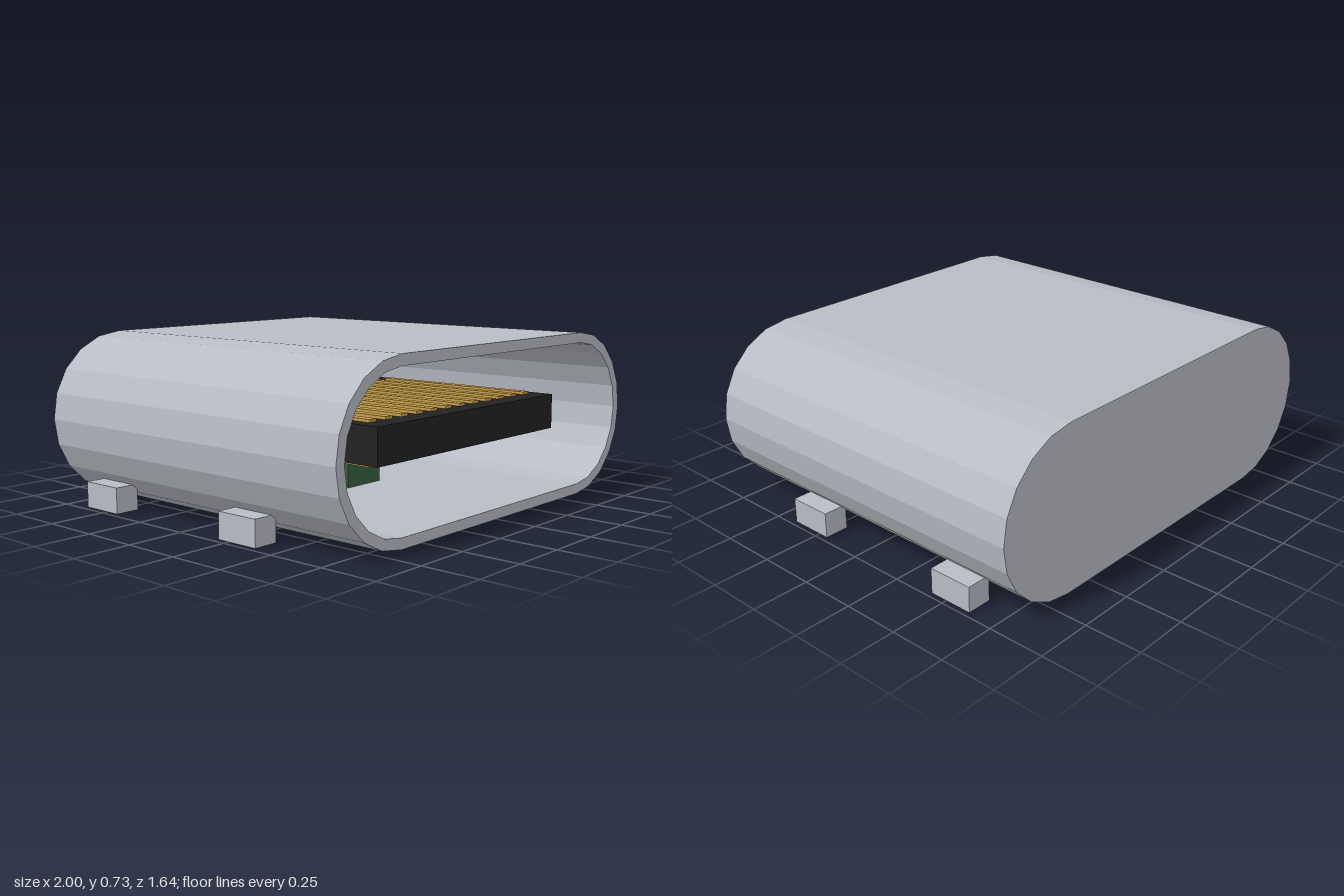
import * as THREE from 'three';

const material = (name, color) => {
  const m = new THREE.MeshStandardMaterial({ color });
  m.name = name;
  return m;
};

// Stadium outline centred on the origin: two half circles joined by flats
const HALF_FLAT = 0.635;
function stadium(PathType, radius) {
  const p = new PathType();
  p.absarc(HALF_FLAT, 0, radius, -Math.PI / 2, Math.PI / 2, false);
  p.absarc(-HALF_FLAT, 0, radius, Math.PI / 2, Math.PI * 1.5, false);
  p.closePath();
  return p;
}

export function createModel() {
  const model = new THREE.Group();
  model.name = 'connectorSocket';
  const metal = material('shell metal', 0xb8bcc4);
  const black = material('black plastic', 0x222222);
  const gold = material('contact gold', 0xc8a04a);
  const green = material('board green', 0x37603f);

  const add = (name, geometry, mat, x, y, z) => {
    const mesh = new THREE.Mesh(geometry, mat);
    mesh.name = name;
    mesh.position.set(x, y, z);
    model.add(mesh);
  };
  const box = (name, mat, [x0, x1], [y0, y1], [z0, z1]) =>
    add(name, new THREE.BoxGeometry(x1 - x0, y1 - y0, z1 - z0), mat,
      (x0 + x1) / 2, (y0 + y1) / 2, (z0 + z1) / 2);

  // Faceted shell tube, open at the front, and its back wall
  const R = 0.365, WALL = 0.045, BACK = -0.82, BACK_WALL = 0.045;
  const outline = stadium(THREE.Shape, R);
  outline.holes.push(stadium(THREE.Path, R - WALL));
  const extrude = (shape, depth) =>
    new THREE.ExtrudeGeometry(shape, { depth, bevelEnabled: false, curveSegments: 5 });
  add('shell', extrude(outline, 1.64), metal, 0, R, BACK);
  add('backWall', extrude(stadium(THREE.Shape, R - WALL), BACK_WALL), metal, 0, R, BACK);

  // Tongue with twelve contacts above and below
  box('tongue', black, [-0.62, 0.62], [0.29, 0.445], [BACK + BACK_WALL, 0.69]);
  for (let i = 0; i < 12; i++) {
    const x = (i - 5.5) * 0.098;
    const span = [x - 0.021, x + 0.021];
    box('upperContact', gold, span, [0.44, 0.457], [-0.2, 0.6]);
    box('lowerContact', gold, span, [0.27, 0.284], [-0.2, 0.6]);
  }

  // Small board block under the tongue and its pad on the underside
  box('boardBlock', green, [-0.11, 0.11], [0.02, 0.228], [-0.1, 0.1]);
  box('undersidePad', gold, [-0.105, 0.105], [-0.002, 0.004], [-0.095, 0.095]);

  // Four mounting feet
  for (const side of [-1, 1]) {
    for (const z of [0.3, -0.525]) {
      const x = side * 0.924;
      box('mountingFoot', metal, [x - 0.055, x + 0.055], [0, 0.112], [z - 0.1, z + 0.1]);
    }
  }
  return model;
}
